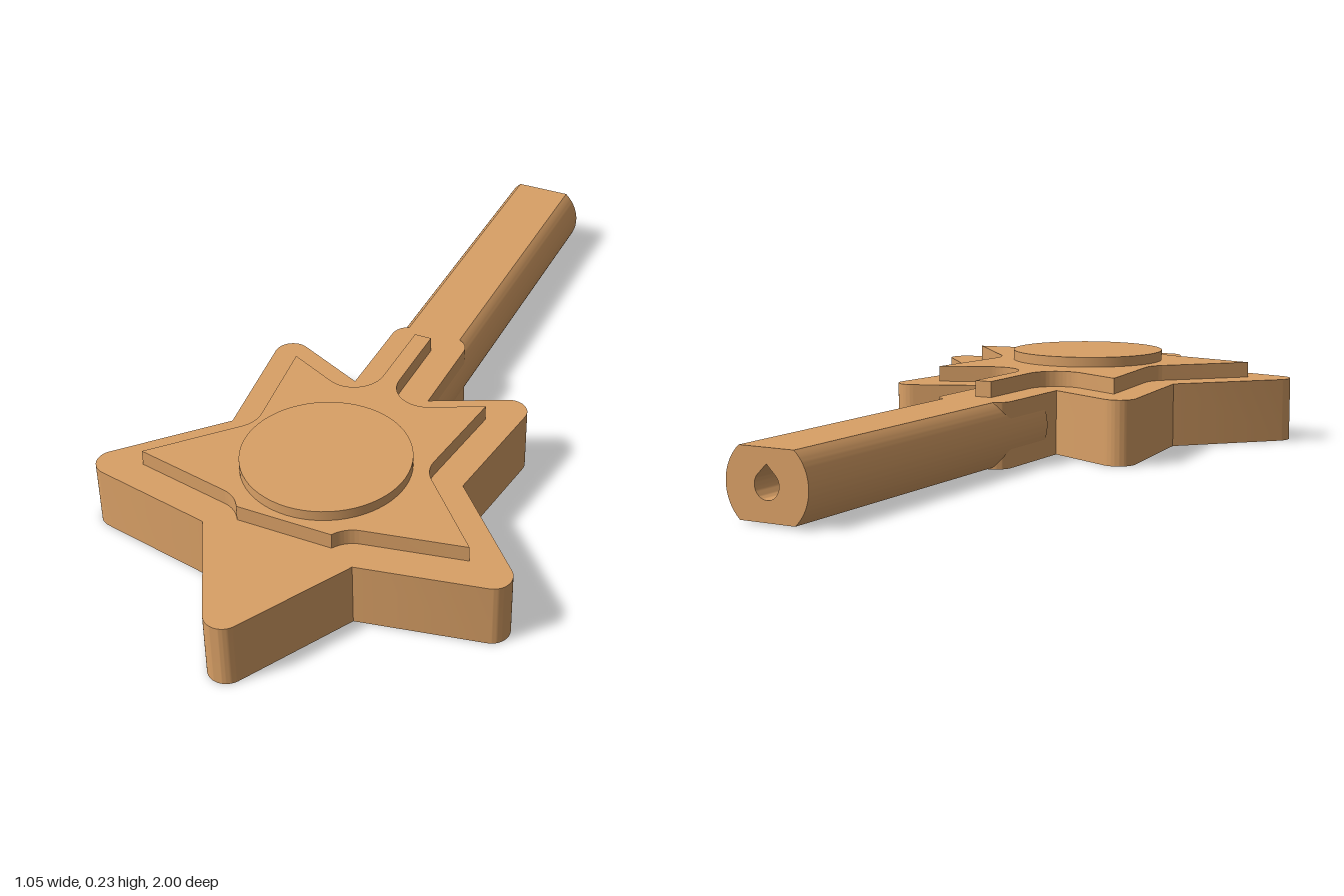
import * as THREE from 'three';
import { toCreasedNormals } from 'three/addons/utils/BufferGeometryUtils.js';

const rad = THREE.MathUtils.degToRad;
const CZ = 0.447;            // star centre on z
const TIP = 0.6, INNER = 0.32; // sharp tip and inner corner radii
const ROUND = 0.045;         // rounding of outer corners
const INSET = 0.078;         // margin of the raised star
const NECK = 0.1, NECK_END = -0.195;

// Angle of an edge normal away from its tip direction, in degrees
const HALF = Math.atan2(INNER * Math.sin(rad(36)), TIP - INNER * Math.cos(rad(36)));
const SPREAD = 90 - THREE.MathUtils.radToDeg(HALF);

const polar = (r, deg) => [r * Math.cos(rad(deg)), CZ + r * Math.sin(rad(deg))];

// Star outline with a neck at the back, drawn in (x, z); inset gives the raised version
function starShape(inset) {
  const s = new THREE.Shape();
  const outer = ([x, y], a, b) => s.absarc(x, y, ROUND, rad(a), rad(b), false);
  const corner = ([x, y], a, b) => {
    if (inset) s.absarc(x, y, INSET, rad(a), rad(b), true);
    else s.lineTo(x, y);
  };
  // Where the back edges meet the neck
  const back = polar(INNER, 270), tip = polar(TIP, 306);
  const neckZ = back[1] + (tip[1] - back[1]) * NECK / tip[0];

  for (let k = 0; k < 5; k++) {
    const phi = 90 + 72 * k;
    if (inset) {
      const p = polar(TIP - INSET / Math.sin(HALF), phi);
      if (k) s.lineTo(...p); else s.moveTo(...p);
    } else {
      outer(polar(TIP - ROUND / Math.sin(HALF), phi), phi - SPREAD, phi + SPREAD);
    }
    if (k === 2) {
      corner([-NECK, neckZ], phi + SPREAD - 180, 0);
      if (inset) {
        const w = NECK - INSET, z = NECK_END + INSET;
        s.lineTo(-w, z);
        s.lineTo(w, z);
      } else {
        outer([-NECK + ROUND, NECK_END + ROUND], 180, 270);
        outer([NECK - ROUND, NECK_END + ROUND], 270, 360);
      }
      corner([NECK, neckZ], 180, phi + 72 - SPREAD - 180);
    } else {
      corner(polar(INNER, phi + 36), phi + SPREAD + 180, phi + 72 - SPREAD + 180);
    }
  }
  s.closePath();
  return s;
}

function extrude(shape, depth) {
  return new THREE.ExtrudeGeometry(shape, { depth, bevelEnabled: false, curveSegments: 16 });
}

// Flat plate from a plan outline between two heights
function plate(shape, y0, y1) {
  return toCreasedNormals(extrude(shape, y1 - y0).rotateX(Math.PI / 2).translate(0, y1, 0), 0.5);
}

// Round bar flattened above and below, with a teardrop bore
function shaftGeometry() {
  const R = 0.107, cy = 0.085, a = Math.asin(0.08 / R), r = 0.032;
  const s = new THREE.Shape();
  s.absarc(0, cy, R, -a, a, false);
  s.absarc(0, cy, R, Math.PI - a, Math.PI + a, false);
  s.closePath();
  const bore = new THREE.Path();
  bore.absarc(0, cy, r, rad(135), rad(405), false);
  bore.lineTo(0, cy + r * Math.SQRT2);
  bore.closePath();
  s.holes.push(bore);
  return toCreasedNormals(extrude(s, 1.02).translate(0, 0, -1), 0.5);
}

export function createModel() {
  const group = new THREE.Group();
  const wood = new THREE.MeshStandardMaterial({ color: 0xd9a066 });
  wood.name = 'tan';
  const add = (name, geometry) => {
    const mesh = new THREE.Mesh(geometry, wood);
    mesh.name = name;
    group.add(mesh);
  };

  add('starBase', plate(starShape(false), 0, 0.165));
  add('raisedStar', plate(starShape(true), 0.165, 0.205));
  add('centreDisc', new THREE.CylinderGeometry(0.203, 0.203, 0.026, 64).translate(0, 0.218, CZ));
  add('handleShaft', shaftGeometry());
  return group;
}
